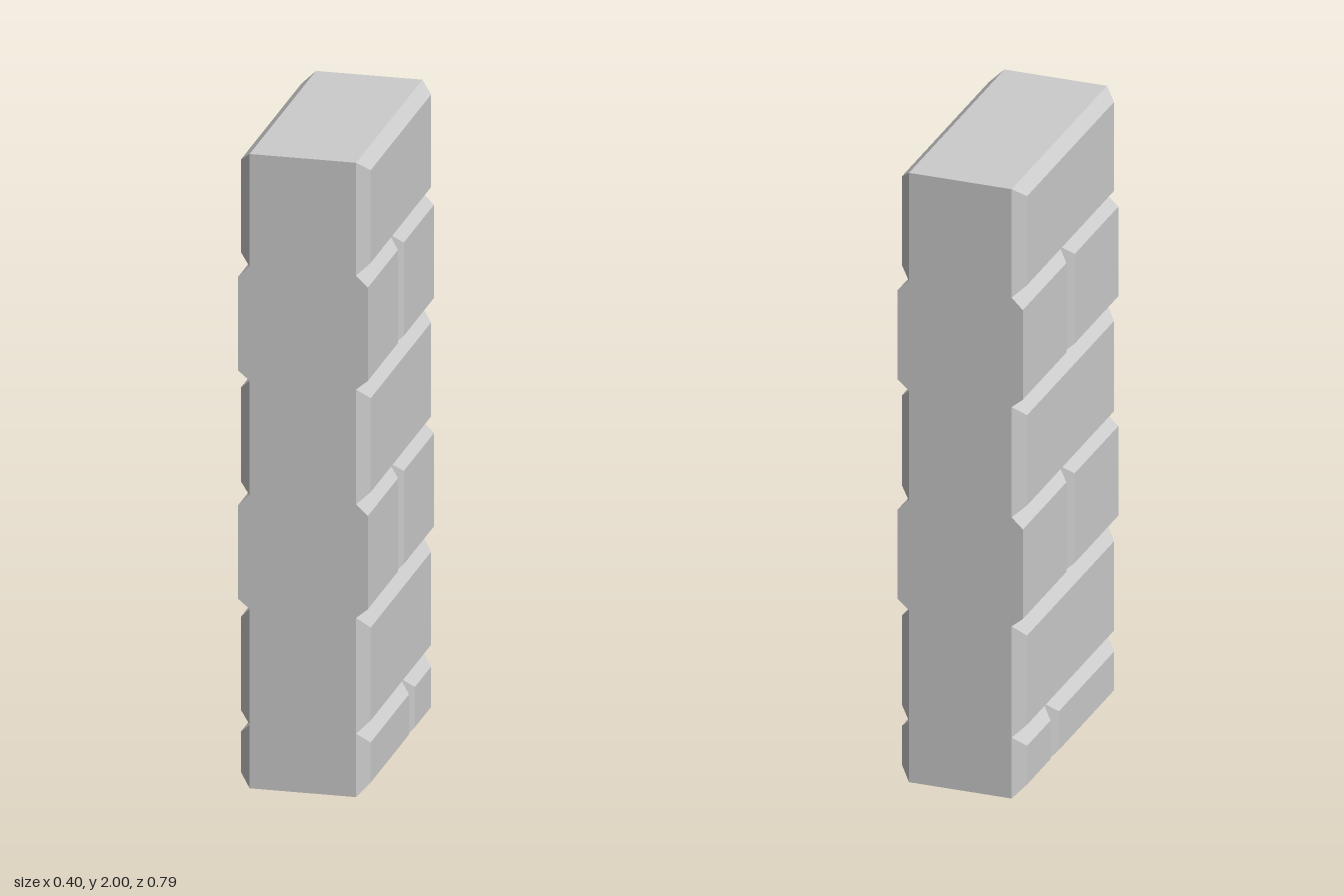
import * as THREE from 'three';

const CORE_X = 0.164, FACE_X = 0.2, END_Z = 0.397, BEVEL = 0.035;

// Courses from the ground up: height range, bottom and top bevel,
// joint position along z (or null), and whether the ends are bevelled.
const COURSES = [
  { y0: 0, y1: 0.2, low: 0.037, high: 0.036, joint: -0.132, bevelEnds: true },
  { y0: 0.2, y1: 0.565, low: 0.033, high: 0.039, joint: null, bevelEnds: true },
  { y0: 0.565, y1: 0.923, low: 0.03, high: 0.034, joint: 0, bevelEnds: false },
  { y0: 0.923, y1: 1.285, low: 0.03, high: 0.036, joint: null, bevelEnds: true },
  { y0: 1.285, y1: 1.644, low: 0.03, high: 0.035, joint: 0, bevelEnds: false },
  { y0: 1.644, y1: 2, low: 0.032, high: 0.032, joint: null, bevelEnds: true },
];

// A box whose outer face is drawn in on each edge by its own bevel.
function brickGeometry(side, { y0, y1, low, high }, z0, z1, bevelZ0, bevelZ1) {
  const geometry = new THREE.BoxGeometry(1, 1, 1);
  const p = geometry.attributes.position;
  for (let i = 0; i < p.count; i++) {
    const outer = p.getX(i) * side > 0 ? 1 : 0;
    const y = p.getY(i) < 0 ? y0 + low * outer : y1 - high * outer;
    const z = p.getZ(i) < 0 ? z0 + bevelZ0 * outer : z1 - bevelZ1 * outer;
    p.setXYZ(i, side * (outer ? FACE_X : CORE_X), y, z);
  }
  geometry.computeVertexNormals();
  return geometry;
}

export function createModel() {
  const model = new THREE.Group();
  model.name = 'brickPillar';
  const material = new THREE.MeshStandardMaterial({ color: 0xcccccc, flatShading: true });

  // Solid core, visible at the ends, top and bottom
  const core = new THREE.Mesh(new THREE.BoxGeometry(CORE_X * 2, 2, END_Z * 2), material);
  core.position.y = 1;
  core.name = 'core';
  model.add(core);

  // Bevelled bricks, mirrored on both broad sides
  for (const side of [1, -1]) {
    const wall = new THREE.Group();
    wall.name = side > 0 ? 'leftBricks' : 'rightBricks';
    COURSES.forEach((course, row) => {
      const end = course.bevelEnds ? BEVEL : 0;
      const spans = course.joint === null
        ? [[-END_Z, END_Z, end, end]]
        : [[-END_Z, course.joint, end, BEVEL], [course.joint, END_Z, BEVEL, end]];
      spans.forEach((span, n) => {
        const brick = new THREE.Mesh(brickGeometry(side, course, ...span), material);
        brick.name = `brickRow${row + 1}Piece${n + 1}`;
        wall.add(brick);
      });
    });
    model.add(wall);
  }
  return model;
}
